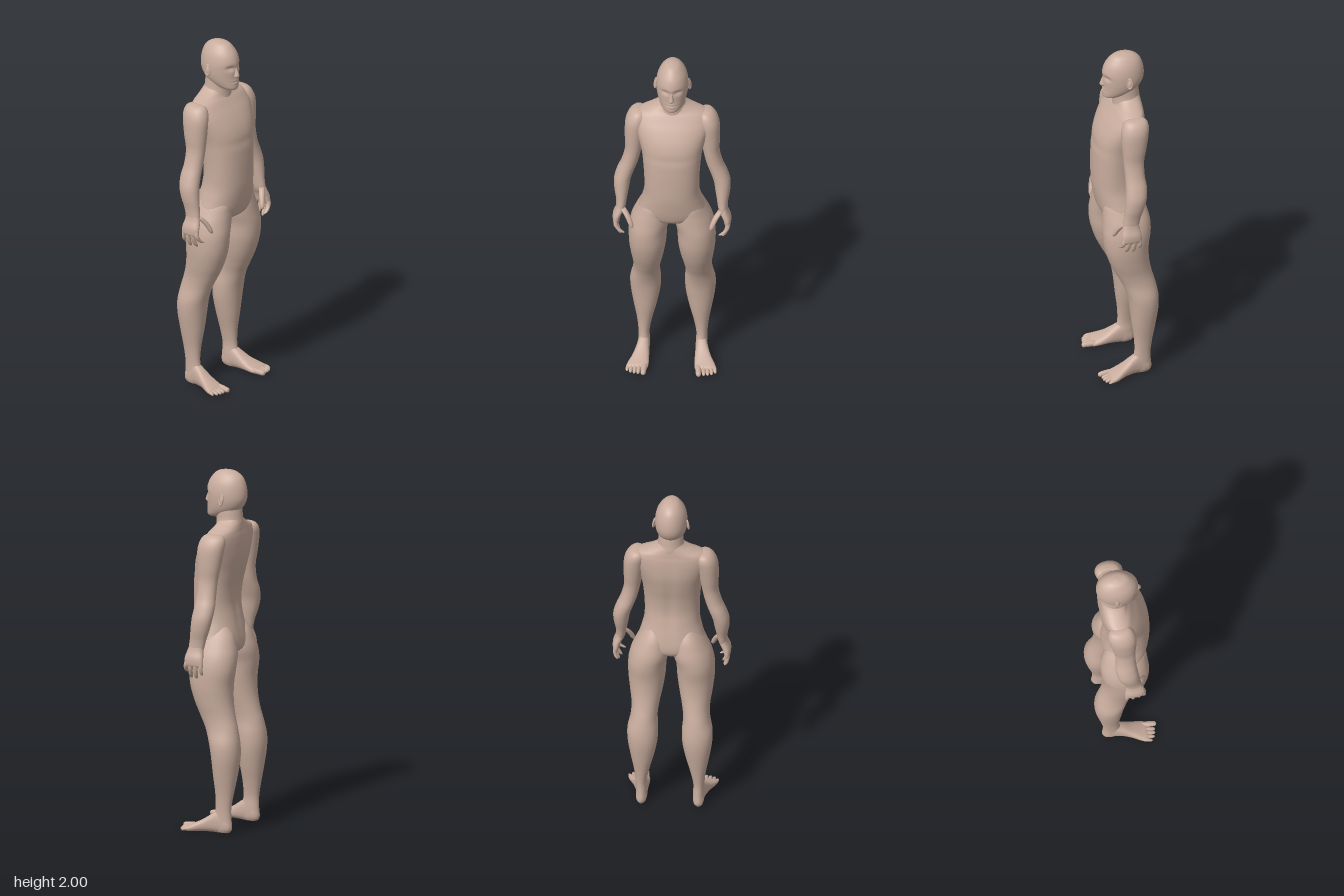
import * as THREE from 'three';

const skin = new THREE.MeshStandardMaterial({ color: 0xc9ad9e });
skin.name = 'skin';

const gauss = (d, w) => Math.exp(-(d * d) / (w * w));
const cubic = (a, b, c, d, t) =>
  0.5 * (2 * b + (c - a) * t + (2 * a - 5 * b + 4 * c - d) * t * t + (3 * b - a - 3 * c + d) * t * t * t);

// Smooth closed skin through cross-sections. Each row is [position along axis, x0, x1, low, high],
// where low/high bound z (axis 'y') or y (axis 'z').
function loft(rows, { axis = 'y', power = 2, side = 1, segs = 28, steps = 5, deform } = {}) {
  const pos = [], index = [], n = rows.length;
  const put = (u, t, v) => {
    const p = axis === 'y' ? new THREE.Vector3(u, t, v) : new THREE.Vector3(u, v, t);
    if (deform) deform(p);
    pos.push(p.x * side, p.y, p.z);
  };
  const sections = [];
  for (let i = 0; i < n - 1; i++) {
    const k = [rows[Math.max(i - 1, 0)], rows[i], rows[i + 1], rows[Math.min(i + 2, n - 1)]];
    for (let s = 0; s < steps + (i === n - 2 ? 1 : 0); s++) {
      sections.push(rows[0].map((_, j) => cubic(k[0][j], k[1][j], k[2][j], k[3][j], s / steps)));
    }
  }
  const bend = (c) => Math.sign(c) * Math.pow(Math.abs(c), 2 / power);
  for (const [t, u0, u1, v0, v1] of sections) {
    for (let j = 0; j < segs; j++) {
      const a = (j / segs) * Math.PI * 2;
      put((u0 + u1) / 2 + ((u1 - u0) / 2) * bend(Math.cos(a)), t, (v0 + v1) / 2 + ((v1 - v0) / 2) * bend(Math.sin(a)));
    }
  }
  const m = sections.length;
  for (let i = 0; i < m - 1; i++) {
    for (let j = 0; j < segs; j++) {
      const a = i * segs + j, b = i * segs + ((j + 1) % segs);
      index.push(a, b, a + segs, b, b + segs, a + segs);
    }
  }
  // end caps
  for (const e of [0, m - 1]) {
    const [t, u0, u1, v0, v1] = sections[e];
    const c = pos.length / 3;
    put((u0 + u1) / 2, t, (v0 + v1) / 2);
    for (let j = 0; j < segs; j++) {
      const a = e * segs + j, b = e * segs + ((j + 1) % segs);
      index.push(...(e === 0 ? [c, b, a] : [c, a, b]));
    }
  }
  // face outward: flip when the enclosed volume is negative
  let volume = 0;
  const A = new THREE.Vector3(), B = new THREE.Vector3(), C = new THREE.Vector3();
  for (let i = 0; i < index.length; i += 3) {
    A.fromArray(pos, index[i] * 3);
    B.fromArray(pos, index[i + 1] * 3);
    C.fromArray(pos, index[i + 2] * 3);
    volume += A.dot(B.cross(C));
  }
  if (volume < 0) index.reverse();
  const g = new THREE.BufferGeometry();
  g.setAttribute('position', new THREE.Float32BufferAttribute(pos, 3));
  g.setIndex(index);
  g.computeVertexNormals();
  return g;
}

function add(parent, name, geometry) {
  const mesh = new THREE.Mesh(geometry, skin);
  mesh.name = name;
  parent.add(mesh);
  return mesh;
}

// Round-tipped finger or toe along a bent line of three points
function digit(axis, side, a, b, c, r) {
  const curve = new THREE.QuadraticBezierCurve3(...[a, b, c].map((p) => new THREE.Vector3(...p)));
  const profile = [[0, 1], [0.3, 1.03], [0.6, 0.95], [0.82, 0.85], [0.94, 0.6], [0.99, 0.25], [1, 0.05]];
  const rows = profile.map(([s, k]) => {
    const p = curve.getPoint(s), q = r * k;
    return axis === 'y' ? [p.y, p.x - q, p.x + q, p.z - q, p.z + q] : [p.z, p.x - q, p.x + q, p.y - q, p.y + q];
  });
  return loft(rows, { axis, side, segs: 12, steps: 3 });
}

// Rows symmetric about x = 0: [y, half width, back, front]
const symmetric = (rows) => rows.map(([y, w, b, f]) => [y, -w, w, b, f]);

function buildHead(body) {
  const head = new THREE.Group();
  head.name = 'head';
  body.add(head);
  add(head, 'skull', loft(symmetric([
    [2.0, 0.004, -0.025, -0.015], [1.99, 0.036, -0.07, 0.035], [1.965, 0.06, -0.105, 0.065],
    [1.93, 0.078, -0.123, 0.088], [1.885, 0.087, -0.132, 0.1], [1.84, 0.087, -0.13, 0.098],
    [1.8, 0.08, -0.112, 0.097], [1.77, 0.068, -0.08, 0.099], [1.748, 0.052, -0.03, 0.1],
    [1.735, 0.034, 0.01, 0.092], [1.731, 0.008, 0.04, 0.06],
  ]), {
    segs: 64, steps: 9,
    // eye sockets, mouth line and lips
    deform: (p) => {
      if (p.z < 0.02) return;
      p.z -= 0.013 * gauss(Math.abs(p.x) - 0.034, 0.022) * gauss(p.y - 1.866, 0.014);
      p.z -= 0.005 * gauss(p.x, 0.03) * gauss(p.y - 1.782, 0.004);
      p.z += 0.004 * gauss(p.x, 0.025) * gauss(p.y - 1.782, 0.014);
    },
  }));
  add(head, 'nose', loft(symmetric([
    [1.885, 0.005, 0.07, 0.092], [1.865, 0.008, 0.07, 0.1], [1.84, 0.011, 0.07, 0.11],
    [1.82, 0.016, 0.07, 0.116], [1.81, 0.015, 0.07, 0.111], [1.804, 0.008, 0.08, 0.1],
  ]), { segs: 20 }));
  for (const side of [1, -1]) {
    const ear = new THREE.Group();
    ear.name = side > 0 ? 'leftEar' : 'rightEar';
    add(ear, 'earRim', new THREE.TorusGeometry(0.02, 0.005, 8, 24)).scale.set(0.72, 1.4, 1);
    add(ear, 'earBowl', new THREE.SphereGeometry(0.019, 16, 12)).scale.set(0.7, 1.3, 0.3);
    ear.position.set(side * 0.092, 1.847, -0.028);
    ear.rotation.set(-0.15, side * (Math.PI / 2 - 0.4), 0, 'YXZ');
    head.add(ear);
  }
}

function buildArm(body, side) {
  const arm = new THREE.Group();
  arm.name = side > 0 ? 'leftArm' : 'rightArm';
  body.add(arm);
  add(arm, 'shoulderAndArm', loft([
    [1.676, 0.178, 0.19, -0.045, -0.015], [1.668, 0.15, 0.218, -0.085, 0.02], [1.64, 0.135, 0.243, -0.102, 0.042],
    [1.59, 0.14, 0.258, -0.1, 0.053], [1.5, 0.155, 0.26, -0.085, 0.05], [1.42, 0.168, 0.258, -0.07, 0.045],
    [1.34, 0.185, 0.276, -0.068, 0.042], [1.28, 0.205, 0.3, -0.073, 0.044], [1.22, 0.225, 0.317, -0.068, 0.05],
    [1.16, 0.235, 0.316, -0.054, 0.056], [1.1, 0.245, 0.306, -0.034, 0.062], [1.05, 0.253, 0.304, -0.022, 0.068],
    [1.02, 0.265, 0.305, -0.015, 0.06],
  ], { side, power: 2.1 }));
  const hand = new THREE.Group();
  hand.name = 'hand';
  arm.add(hand);
  add(hand, 'palm', loft([
    [1.08, 0.255, 0.3, -0.02, 0.058], [1.04, 0.258, 0.308, -0.022, 0.072], [1.0, 0.276, 0.322, -0.029, 0.081],
    [0.965, 0.286, 0.322, -0.032, 0.081], [0.95, 0.294, 0.314, -0.026, 0.074],
  ], { side, power: 2.3 }));
  // knuckle z, fingertip [x, y, z]
  const fingers = [
    [0.068, [0.258, 0.908, 0.083]], [0.04, [0.276, 0.882, 0.052]],
    [0.012, [0.287, 0.884, 0.015]], [-0.017, [0.292, 0.905, -0.022]],
  ];
  fingers.forEach(([z, tip], i) => {
    add(hand, 'finger' + (i + 1), digit('y', side, [0.304, 0.98, z], [0.315, 0.935, (z + tip[2]) / 2], tip, i === 3 ? 0.0105 : 0.0125));
  });
  add(hand, 'thumb', digit('y', side, [0.268, 1.055, 0.055], [0.232, 1.02, 0.085], [0.215, 0.955, 0.103], 0.016));
}

function buildLeg(body, side) {
  const leg = new THREE.Group();
  leg.name = side > 0 ? 'leftLeg' : 'rightLeg';
  body.add(leg);
  add(leg, 'thighAndCalf', loft([
    [1.17, 0.06, 0.12, -0.05, 0.08], [1.1, 0.02, 0.165, -0.098, 0.12], [1.04, 0.008, 0.196, -0.119, 0.127],
    [0.98, 0.008, 0.222, -0.131, 0.131], [0.91, 0.026, 0.236, -0.13, 0.135], [0.82, 0.032, 0.236, -0.118, 0.127],
    [0.73, 0.045, 0.226, -0.12, 0.101], [0.65, 0.061, 0.215, -0.135, 0.065], [0.58, 0.07, 0.217, -0.154, 0.03],
    [0.5, 0.065, 0.233, -0.168, 0.003], [0.42, 0.069, 0.23, -0.169, -0.01], [0.32, 0.088, 0.214, -0.155, -0.02],
    [0.22, 0.113, 0.196, -0.137, -0.032], [0.14, 0.127, 0.188, -0.125, -0.034], [0.08, 0.125, 0.187, -0.126, -0.022],
    [0.03, 0.126, 0.186, -0.13, -0.02], [0.006, 0.135, 0.178, -0.118, -0.03],
  ], { side, power: 2.1 }));
  const foot = new THREE.Group();
  foot.name = 'foot';
  leg.add(foot);
  add(foot, 'instep', loft([
    [-0.124, 0.142, 0.172, 0.015, 0.05], [-0.105, 0.128, 0.184, 0.002, 0.085], [-0.06, 0.125, 0.189, 0.0, 0.125],
    [-0.02, 0.125, 0.197, 0.002, 0.108], [0.03, 0.124, 0.215, 0.003, 0.074], [0.075, 0.124, 0.237, 0.001, 0.05],
    [0.105, 0.128, 0.246, 0.001, 0.037], [0.12, 0.138, 0.238, 0.005, 0.027],
  ], { axis: 'z', side, power: 2.4 }));
  // base x, tip x, tip z, radius
  const toes = [[0.145, 0.151, 0.172, 0.016], [0.172, 0.179, 0.161, 0.0115], [0.193, 0.2, 0.158, 0.011],
    [0.213, 0.221, 0.151, 0.0105], [0.231, 0.24, 0.136, 0.01]];
  toes.forEach(([x0, x1, z, r], i) => {
    add(foot, 'toe' + (i + 1), digit('z', side, [x0, 0.022, 0.085], [x1, 0.022, z - 0.025], [x1, r + 0.002, z], r));
  });
}

export function createModel() {
  const body = new THREE.Group();
  body.name = 'humanFigure';
  buildHead(body);
  add(body, 'neck', loft(symmetric([
    [1.84, 0.058, -0.09, 0.045], [1.79, 0.067, -0.1, 0.048], [1.74, 0.07, -0.105, 0.041],
    [1.7, 0.078, -0.109, 0.04], [1.64, 0.085, -0.1, 0.045],
  ])));
  add(body, 'torso', loft(symmetric([
    [1.75, 0.05, -0.095, 0.015], [1.718, 0.085, -0.106, 0.024], [1.692, 0.135, -0.11, 0.032],
    [1.67, 0.185, -0.112, 0.047], [1.64, 0.205, -0.116, 0.067], [1.59, 0.205, -0.118, 0.1],
    [1.52, 0.185, -0.115, 0.134], [1.44, 0.165, -0.1, 0.152], [1.35, 0.155, -0.08, 0.157],
    [1.26, 0.15, -0.072, 0.158], [1.18, 0.152, -0.083, 0.156], [1.11, 0.168, -0.096, 0.147],
    [1.05, 0.182, -0.104, 0.135], [1.01, 0.15, -0.1, 0.12], [0.985, 0.085, -0.08, 0.09], [0.97, 0.03, -0.04, 0.03],
  ]), {
    power: 2.25, segs: 56, steps: 6,
    // spine furrow and the fold below the chest
    deform: (p) => {
      if (p.z < -0.04) p.z += 0.008 * gauss(p.x, 0.025) * gauss(p.y - 1.35, 0.25);
      if (p.z > 0.05) p.z -= 0.004 * gauss(p.y - 1.44, 0.025) * gauss(p.x, 0.13);
    },
  }));
  for (const side of [1, -1]) {
    buildArm(body, side);
    buildLeg(body, side);
  }
  return body;
}
